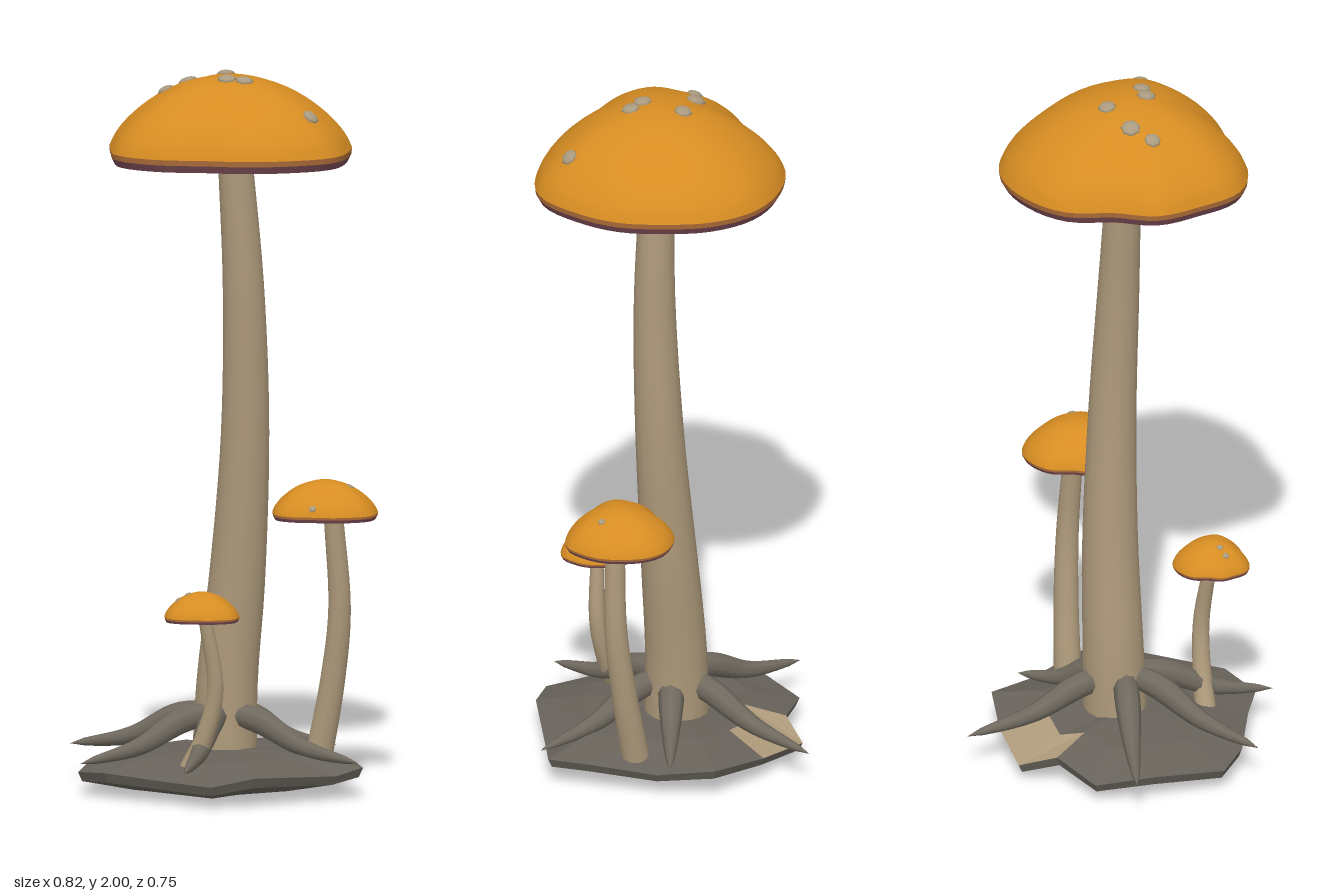
import * as THREE from 'three';
import { mergeVertices } from 'three/addons/utils/BufferGeometryUtils.js';

const paint = (name, color) => {
  const m = new THREE.MeshStandardMaterial({ color });
  m.name = name;
  return m;
};
const V3 = (p) => new THREE.Vector3(...p);
const V2 = (p) => new THREE.Vector2(...p);

// Irregular cap outline: evenly spaced radius factors, smoothly blended
const LOBES = [0.97, 0.99, 1.015, 1.067, 0.976, 0.903, 0.86, 0.97, 1.044, 0.974, 0.976, 0.9, 1.024, 1.065, 1.08, 1.03];
function lobe(angle) {
  const n = LOBES.length;
  const t = ((angle / (Math.PI * 2)) * n + n) % n;
  const i = Math.floor(t), f = t - i;
  const [a, b, c, d] = [n - 1, 0, 1, 2].map((k) => LOBES[(i + k) % n]);
  return b + 0.5 * f * (c - a + f * (2 * a - 5 * b + 4 * c - d + f * (3 * (b - c) + d - a)));
}

// Dome profile as [radius, height] fractions, from rim to crown
const DOME = new THREE.SplineCurve(
  [[1, 0.15], [0.94, 0.32], [0.81, 0.53], [0.62, 0.74], [0.42, 0.885], [0.2, 0.975], [0, 1]].map(V2)
).getPoints(18);

function domeHeight(r) {
  for (let i = 1; i < DOME.length; i++) {
    const a = DOME[i - 1], b = DOME[i];
    if (r >= b.x && r <= a.x) return b.y + ((a.y - b.y) * (r - b.x)) / (a.x - b.x || 1);
  }
  return DOME[0].y;
}

// Tube whose radius follows an evenly spaced list
function taperedTube(points, radii, rings, sides) {
  const path = new THREE.CatmullRomCurve3(points.map(V3));
  const g = new THREE.TubeGeometry(path, rings, 1, sides);
  const pos = g.attributes.position, v = new THREE.Vector3();
  for (let i = 0; i <= rings; i++) {
    const c = path.getPointAt(i / rings);
    const t = (i / rings) * (radii.length - 1), k = Math.min(Math.floor(t), radii.length - 2);
    const r = THREE.MathUtils.lerp(radii[k], radii[k + 1], t - k);
    for (let j = 0; j <= sides; j++) {
      const n = i * (sides + 1) + j;
      v.fromBufferAttribute(pos, n).sub(c).multiplyScalar(r).add(c);
      pos.setXYZ(n, v.x, v.y, v.z);
    }
  }
  return g;
}

// One lathe band of a cap, bent to the lobed outline
function capBand(profile, R, H) {
  let g = new THREE.LatheGeometry(profile, 64);
  const p = g.attributes.position;
  for (let i = 0; i < p.count; i++) {
    const x = p.getX(i), z = p.getZ(i);
    const s = R * lobe(Math.atan2(z, x));
    p.setXYZ(i, x * s, p.getY(i) * H, z * s);
  }
  g.deleteAttribute('uv');
  g.deleteAttribute('normal');
  g = mergeVertices(g, 1e-5);
  g.computeVertexNormals();
  return g;
}

export function createModel() {
  const model = new THREE.Group();
  model.name = 'mushroomCluster';
  const orange = paint('cap orange', 0xd68c22);
  const rust = paint('rim rust', 0xac6c38);
  const mauve = paint('rim mauve', 0x7b4c55);
  const purple = paint('underside purple', 0x68427a);
  const gillTan = paint('gill tan', 0xc0af82);
  const stemTan = paint('stem tan', 0xae9a7b);
  const spotTan = paint('spot tan', 0xaa9b80);
  const rootGrey = paint('root grey', 0x706a5f);
  const rockGrey = paint('rock grey', 0x67625a);

  const add = (parent, name, geometry, material) => {
    const m = new THREE.Mesh(geometry, material);
    m.name = name;
    parent.add(m);
    return m;
  };

  // Cap: dome, rim bands, underside, notched gills and spots
  function cap(parent, [cx, y, cz], R, H, spots, spotSize) {
    const g = new THREE.Group();
    g.name = 'cap';
    g.position.set(cx, y, cz);
    parent.add(g);
    add(g, 'capDome', capBand(DOME, R, H), orange);
    add(g, 'capRimUpper', capBand([[0.995, 0.085], [1, 0.15]].map(V2), R, H), rust);
    add(g, 'capRimLower', capBand([[0.965, 0], [0.995, 0.085]].map(V2), R, H), mauve);
    add(g, 'capUnderside', capBand([[0, 0.01], [0.965, 0]].map(V2), R, H), purple);

    const outline = [];
    for (let i = 0; i < 26; i++) {
      const depth = 0.75 + 0.05 * Math.sin(i * 2.3);
      [[0, depth], [0.15, 0.85], [0.5, 0.87], [0.85, 0.85]].forEach(([f, r]) => {
        const a = ((i + f) / 26) * Math.PI * 2;
        const s = r * R * lobe(a);
        outline.push(new THREE.Vector2(Math.cos(a) * s, Math.sin(a) * s));
      });
    }
    const gills = new THREE.ShapeGeometry(new THREE.Shape(outline)).rotateX(Math.PI / 2);
    add(g, 'gills', gills, gillTan).position.y = -0.003;

    spots.forEach(([x, z, k = 1]) => {
      const dx = x - cx, dz = z - cz, d = Math.hypot(dx, dz);
      const r = d / (R * lobe(Math.atan2(dz, dx)));
      const slope = ((domeHeight(Math.max(r - 0.05, 0)) - domeHeight(r + 0.05)) * H) / (0.1 * R);
      const up = new THREE.Vector3((dx / d) * slope, 1, (dz / d) * slope).normalize();
      const s = add(g, 'capSpot', new THREE.SphereGeometry(spotSize * k, 7, 6), spotTan);
      s.position.set(dx, domeHeight(r) * H, dz);
      s.quaternion.setFromUnitVectors(new THREE.Vector3(0, 1, 0), up);
      s.scale.y = 0.45;
    });
  }

  function mushroom(name, stemPoints, radii, capAt, R, H, spots, spotSize) {
    const g = new THREE.Group();
    g.name = name;
    model.add(g);
    add(g, 'stem', taperedTube(stemPoints, radii, 24, 16), stemTan);
    cap(g, capAt, R, H, spots, spotSize);
  }

  mushroom('tallMushroom',
    [[0.045, 0.08, -0.022], [0.053, 0.3, -0.02], [0.074, 0.6, 0], [0.083, 1, 0.027], [0.07, 1.4, 0.04], [0.048, 1.765, 0.032]],
    [0.09, 0.081, 0.069, 0.059, 0.048], [0.03, 1.76, 0.03], 0.34, 0.234,
    [[-0.11, -0.08, 0.9], [-0.04, -0.08, 1.1], [0.06, -0.04], [0, 0.07, 1.05], [0.035, 0.105], [0.145, 0.28, 0.95]], 0.026);
  mushroom('mediumMushroom',
    [[0.27, 0.06, 0.1], [0.298, 0.3, 0.137], [0.307, 0.5, 0.16], [0.287, 0.765, 0.161]],
    [0.039, 0.035, 0.031, 0.027], [0.265, 0.76, 0.15], 0.148, 0.104,
    [[0.318, 0.2], [0.18, 0.23]], 0.011);
  mushroom('smallMushroom',
    [[-0.16, 0.07, 0.125], [-0.126, 0.17, 0.16], [-0.106, 0.31, 0.188], [-0.138, 0.512, 0.187]],
    [0.03, 0.025, 0.022, 0.018], [-0.147, 0.506, 0.183], 0.105, 0.079,
    [[-0.18, 0.166], [-0.205, 0.156]], 0.01);

  // Blunt roots arching out from the tall stem
  [[-0.24, -0.38], [0.31, -0.375], [-0.415, -0.02], [0.38, 0.015], [-0.27, 0.3], [0.25, 0.365]].forEach(([tx, tz]) => {
    const at = (t, y) => [0.025 + (tx - 0.025) * t, y, -0.01 + (tz + 0.01) * t];
    const g = taperedTube([at(0.06, 0.215), at(0.28, 0.197), at(0.58, 0.135), at(1, 0.1)],
      [0.026, 0.034, 0.036, 0.035, 0.032, 0.028, 0.024, 0.02, 0.016, 0.011, 0], 20, 8);
    add(model, 'root', g, rootGrey);
  });

  // Faceted rock base, rings from top centre to bottom centre; one corner is chipped lower
  const edge = [[-0.365, -0.12], [-0.23, -0.27], [-0.1, -0.37], [0.05, -0.325], [0.15, -0.365, -0.025], [0.28, -0.25], [0.39, -0.11],
    [0.36, 0.05], [0.31, 0.24], [0.275, 0.345], [0.19, 0.345], [-0.08, 0.36], [-0.2, 0.325], [-0.25, 0.2], [-0.35, 0]];
  const rings = [[0, 0.12, 0], [0.64, 0.108, 0.004], [1, 0.072, 0.012], [0.97, 0.046, 0.01], [0.6, 0.014, 0.004], [0, 0, 0]];
  const n = edge.length;
  const corner = (k, i) => {
    const [s, y, wobble] = rings[k], [x, z, chip = 0] = edge[i % n];
    return [x * s, y + wobble * Math.sin((i % n) * 2.4) + x * s * 0.03 + chip * s * s, z * s];
  };
  const rock = [], patch = [];
  for (let k = 0; k < rings.length - 1; k++) {
    for (let i = 0; i < n; i++) {
      const [u0, u1, l0, l1] = [corner(k, i), corner(k, i + 1), corner(k + 1, i), corner(k + 1, i + 1)];
      const out = k === 1 && (i === 3 || i === 4) ? patch : rock;
      if (k < rings.length - 2) out.push(...l1, ...l0, ...u0);
      if (k > 0) out.push(...l1, ...u0, ...u1);
    }
  }
  [['rockBase', rock, rockGrey], ['sandPatch', patch, stemTan]].forEach(([name, list, material]) => {
    const g = new THREE.BufferGeometry();
    g.setAttribute('position', new THREE.Float32BufferAttribute(list, 3));
    g.computeVertexNormals();
    add(model, name, g, material);
  });

  return model;
}
